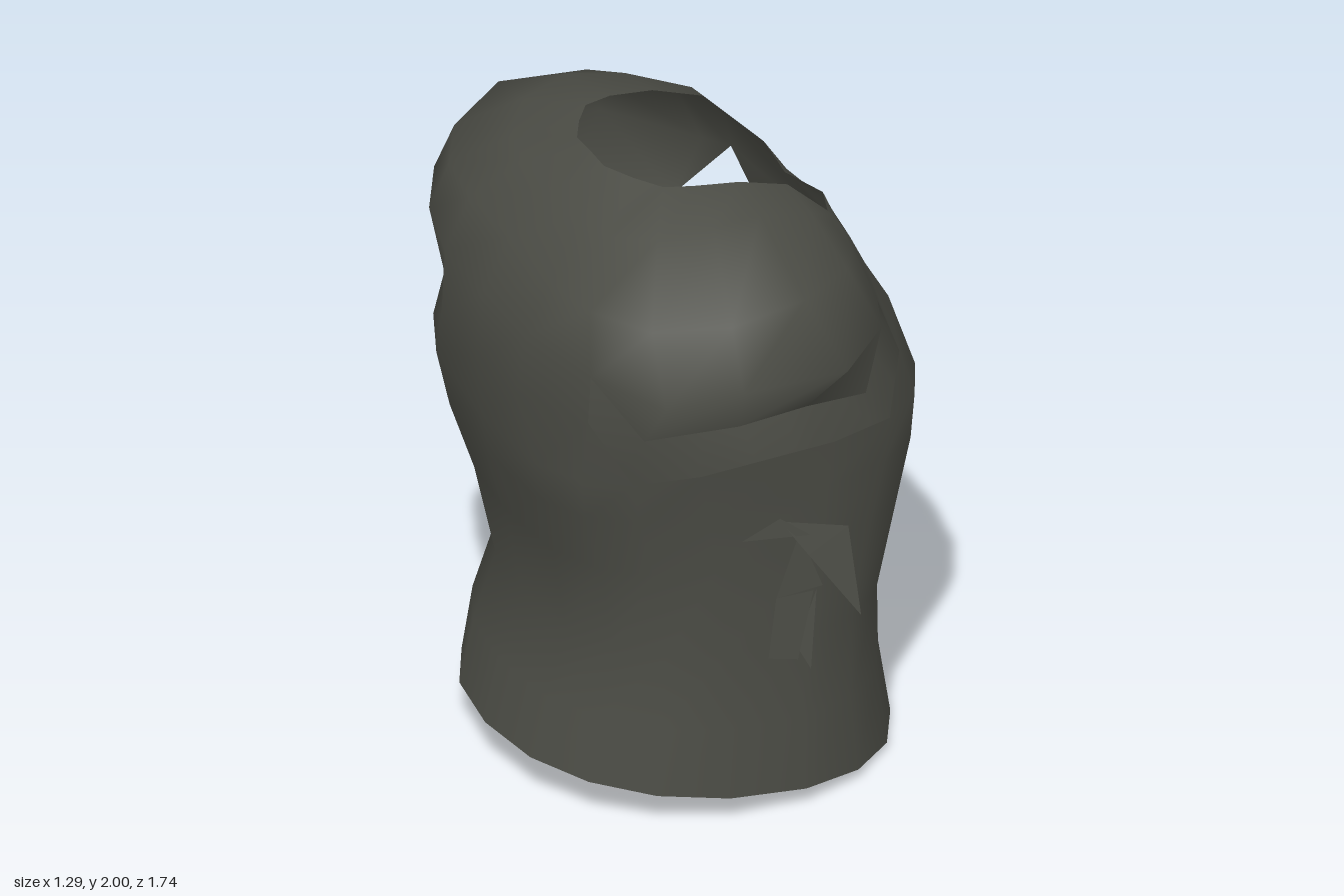
import * as THREE from 'three';

const cloth = new THREE.MeshStandardMaterial({ color: 0x4b4c45, side: THREE.DoubleSide });
cloth.name = 'dark olive grey cloth';

const HALF = 9, COUNT = HALF * 2;

// Half rings run from the chest (+x) round one side to the back (-x).
function halfRing([y, front, back, left, right, tilt, power, lift], side) {
  const pts = [];
  for (let k = 0; k <= HALF; k++) {
    const a = (k / HALF) * Math.PI, c = Math.cos(a), s = Math.max(Math.sin(a), 0);
    const x = Math.abs(c) ** power * (c > 0 ? front : back);
    const z = s ** power * (side > 0 ? left : right);
    pts.push([x, y - tilt * x + (side < 0 ? lift * s : 0), z * side]);
  }
  return pts;
}

// Hem to armpit: height, front x, back x, left z, right z, slope, roundness, lift of the right side
const body = [
  [0.075, 0.61, -0.62, 0.62, 0.655, 0.12, 0.92, 0],
  [0.3, 0.565, -0.57, 0.6, 0.64, 0.08, 0.88, 0],
  [0.55, 0.555, -0.5, 0.58, 0.555, 0.03, 0.82, 0],
  [0.85, 0.62, -0.555, 0.585, 0.58, 0, 0.75, 0],
  [1.05, 0.645, -0.61, 0.595, 0.635, 0, 0.67, 0],
  [1.2, 0.64, -0.63, 0.61, 0.69, -0.02, 0.62, 0.06],
];

// Sleeve lip, sleeve rim, shoulder, collar seam and neckline
const lip = [[0.58, 1.4, 0], [0.575, 1.4, 0.22], [0.49, 1.37, 0.47], [0.29, 1.38, 0.66], [0.05, 1.45, 0.76],
  [-0.22, 1.51, 0.87], [-0.44, 1.42, 0.69], [-0.52, 1.39, 0.48], [-0.64, 1.4, 0.25], [-0.65, 1.4, 0]];
const rim = [[0.51, 1.52, 0], [0.5, 1.53, 0.22], [0.41, 1.57, 0.49], [0.37, 1.55, 0.6], [0.15, 1.58, 0.83],
  [-0.2, 1.61, 0.86], [-0.41, 1.56, 0.775], [-0.54, 1.58, 0.54], [-0.62, 1.6, 0.27], [-0.63, 1.6, 0]];
const shoulder = [[0.48, 1.6, 0], [0.46, 1.62, 0.2], [0.36, 1.72, 0.42], [0.27, 1.76, 0.58], [0.06, 1.79, 0.73],
  [-0.2, 1.79, 0.78], [-0.4, 1.76, 0.66], [-0.51, 1.76, 0.47], [-0.54, 1.76, 0.27], [-0.54, 1.77, 0]];
const collar = [[0.48, 1.63, 0], [0.44, 1.65, 0.18], [0.35, 1.75, 0.32], [0.24, 1.86, 0.4], [0.05, 1.93, 0.45],
  [-0.12, 1.95, 0.49], [-0.28, 1.93, 0.45], [-0.38, 1.9, 0.32], [-0.41, 1.9, 0.18], [-0.41, 1.9, 0]];
const neck = [[0.47, 1.66, 0], [0.42, 1.66, 0.15], [0.39, 1.73, 0.23], [0.22, 1.9, 0.28], [0.06, 1.955, 0.29],
  [-0.08, 1.975, 0.285], [-0.17, 1.98, 0.26], [-0.23, 1.985, 0.18], [-0.28, 1.99, 0.09], [-0.285, 2, 0]];

// The right sleeve lip hangs lower than the left one
const rightLip = [...lip.slice(0, 3), [0.3, 1.36, 0.64], [0.06, 1.4, 0.83], [-0.18, 1.4, 0.87],
  [-0.41, 1.39, 0.73], ...lip.slice(7)];
const mirror = (row) => row.map(([x, y, z]) => [x, y, -z]);

const upper = [rim, shoulder, collar, neck];
const leftRings = [...body.map((b) => halfRing(b, 1)), lip, ...upper];
const rightRings = [...body.map((b) => halfRing(b, -1)), mirror(rightLip), ...upper.map(mirror)];
const ARMPIT = body.length - 1, LIP = ARMPIT + 1;

function shell(name) {
  const pos = [], index = [];
  leftRings.forEach((row, r) => {
    for (let j = 0; j < COUNT; j++) pos.push(...(j <= HALF ? row[j] : rightRings[r][COUNT - j]));
  });
  for (let r = 0; r < leftRings.length - 1; r++) {
    for (let j = 0; j < COUNT; j++) {
      const a = r * COUNT + j, b = r * COUNT + (j + 1) % COUNT, c = a + COUNT, d = b + COUNT;
      const seg = j < HALF ? j : COUNT - 1 - j;
      const corner = seg === 2 || seg === 6;
      const innerIsA = (seg === 2) !== (j < HALF);
      if (r === ARMPIT && corner) index.push(a, innerIsA ? d : c, b); // armhole corner
      else if (r === ARMPIT && seg > 2 && seg < 6) continue; // open armhole
      else if (r === LIP && corner) index.push(innerIsA ? a : b, c, d); // tapering lip
      else index.push(a, c, b, b, c, d);
    }
  }
  const g = new THREE.BufferGeometry();
  g.setAttribute('position', new THREE.Float32BufferAttribute(pos, 3));
  g.setIndex(index);
  g.computeVertexNormals();
  const m = new THREE.Mesh(g, cloth);
  m.name = name;
  return m;
}

// Loose scraps of cloth, each one a triangle
function scraps(name, triangles) {
  const g = new THREE.BufferGeometry();
  g.setAttribute('position', new THREE.Float32BufferAttribute(triangles.flat(), 3));
  g.computeVertexNormals();
  const m = new THREE.Mesh(g, cloth);
  m.name = name;
  return m;
}

export function createModel() {
  const group = new THREE.Group();
  group.name = 'shirt';
  group.add(shell('shirtBodyAndSleeves'));
  group.add(scraps('leftTornFold', [
    [-0.08, 0.94, 0.6, 0.13, 0.92, 0.62, 0.04, 0.99, 0.605],
    [0.04, 0.98, 0.605, 0.12, 0.86, 0.63, 0.26, 0.91, 0.605],
    [0.12, 0.86, 0.63, 0.27, 0.64, 0.67, 0.26, 0.91, 0.605],
    [0.1, 0.93, 0.61, 0.03, 0.72, 0.6, 0.17, 0.74, 0.62],
    [0.03, 0.72, 0.6, 0, 0.53, 0.61, 0.09, 0.51, 0.62],
    [0.03, 0.72, 0.6, 0.09, 0.51, 0.62, 0.14, 0.73, 0.62],
    [0.09, 0.55, 0.61, 0.13, 0.47, 0.625, 0.16, 0.72, 0.6],
  ]));
  group.add(scraps('rightTornFold', [
    [-0.06, 1.03, -0.635, 0.06, 0.9, -0.65, 0.2, 1.0, -0.625],
    [0, 0.97, -0.62, 0.04, 0.76, -0.65, 0.08, 0.93, -0.65],
    [0.04, 0.93, -0.64, 0, 0.71, -0.7, -0.04, 0.96, -0.63],
  ]));
  return group;
}
